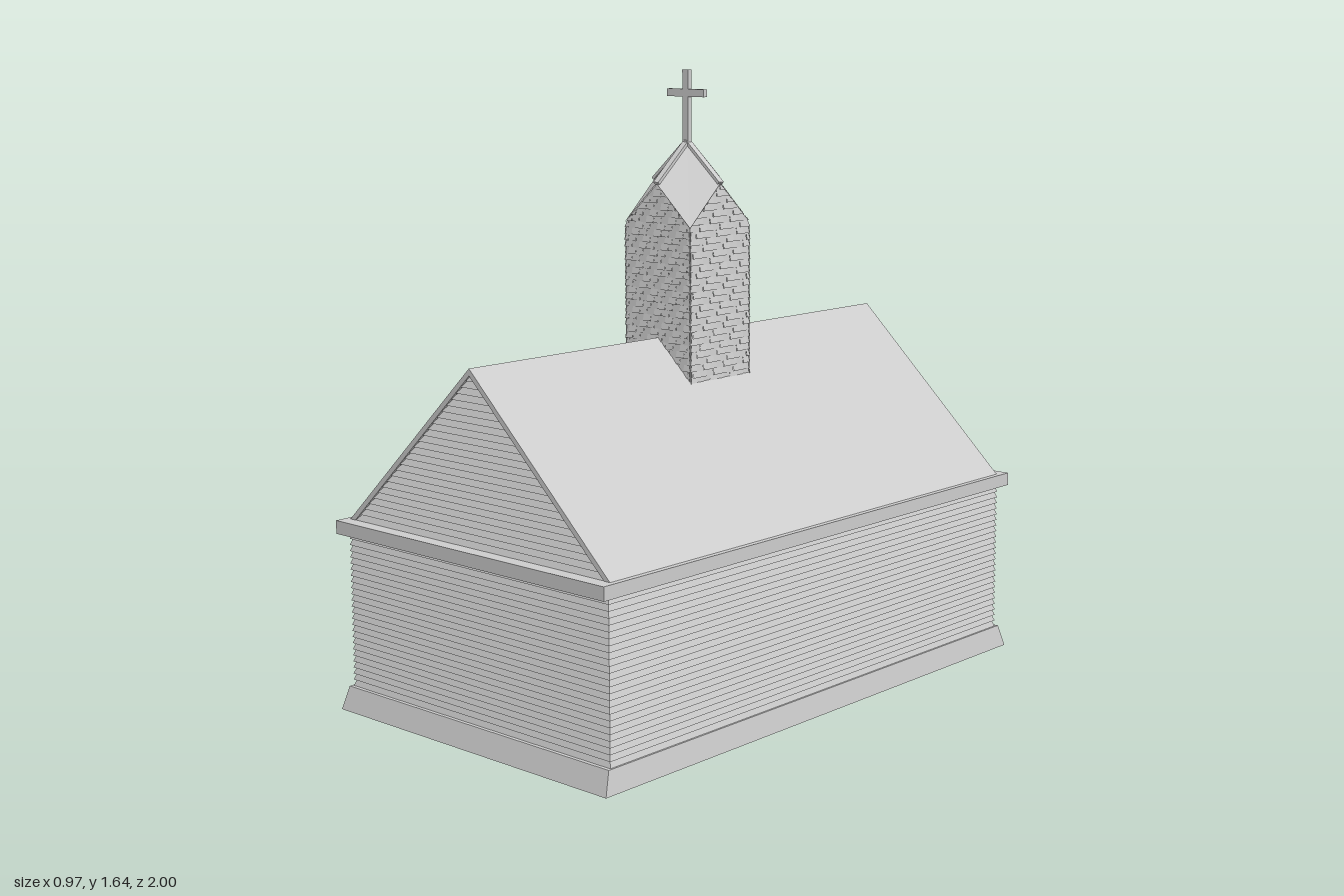
import * as THREE from 'three';

const mat = new THREE.MeshStandardMaterial({ color: 0xcccccc, flatShading: true, side: THREE.DoubleSide });

export function createModel() {
  const root = new THREE.Group();
  root.name = 'chapel';

  const add = (parent, name, geo, x = 0, y = 0, z = 0) => {
    const m = new THREE.Mesh(geo, mat);
    m.name = name;
    m.position.set(x, y, z);
    parent.add(m);
    return m;
  };
  const group = (name, parent = root) => {
    const g = new THREE.Group();
    g.name = name;
    parent.add(g);
    return g;
  };
  // box given by its lower and upper limits
  const block = (parent, name, x0, x1, y0, y1, z0, z1) =>
    add(parent, name, new THREE.BoxGeometry(x1 - x0, y1 - y0, z1 - z0),
      (x0 + x1) / 2, (y0 + y1) / 2, (z0 + z1) / 2);
  // outline in x,y extruded from z0 to z1
  const prism = (parent, name, pts, z0, z1) => {
    const shape = new THREE.Shape(pts.map(([x, y]) => new THREE.Vector2(x, y)));
    return add(parent, name, new THREE.ExtrudeGeometry(shape, { depth: z1 - z0, bevelEnabled: false }), 0, 0, z0);
  };
  const quads = (list) => {
    const pos = [];
    for (const [a, b, c, d] of list) pos.push(...a, ...b, ...c, ...a, ...c, ...d);
    const g = new THREE.BufferGeometry();
    g.setAttribute('position', new THREE.Float32BufferAttribute(pos, 3));
    g.computeVertexNormals();
    return g;
  };
  // upright cross in the x,y plane
  const cross = (parent, name, y0, y1, armY, armHalf, t, z, depth) => {
    const g = group(name, parent);
    block(g, 'upright', -t, t, y0, y1, z - depth, z + depth);
    block(g, 'arm', -armHalf, armHalf, armY - t, armY + t, z - depth, z + depth);
  };

  // Overlapping boards facing +z at distance dist; width(y) is the half width.
  // cols > 1 splits the rows into staggered shingles.
  const siding = (width, y0, y1, rows, dist, lap, mitre, cols = 1) => {
    const list = [];
    const h = (y1 - y0) / rows;
    for (let r = 0; r < rows; r++) {
      const ya = y0 + r * h, yb = ya + h;
      const wa = width(ya), wb = width(yb) - (mitre ? lap : 0);
      const step = 2 * width(y0) / cols;
      const shift = cols > 1 && r % 2 ? step / 2 : 0;
      for (let c = 0; c < cols + (shift ? 1 : 0); c++) {
        const l = -width(y0) + c * step - shift, k = l + step;
        const clamp = (x, w) => Math.max(-w, Math.min(w, x));
        const out = cols > 1 ? dist - ((c * 7 + r * 5) % 3) * 0.0012 : dist;
        const [la, ra, lb, rb] = [clamp(l, wa), clamp(k, wa), clamp(l, wb), clamp(k, wb)];
        list.push([[la, ya, out], [ra, ya, out], [rb, yb, dist - lap], [lb, yb, dist - lap]]);
        list.push([[la, ya, dist - lap], [ra, ya, dist - lap], [ra, ya, out], [la, ya, out]]);
      }
    }
    return quads(list);
  };

  // Hall: flared plinth, clapboard walls, eave band
  const midZ = 0.19, halfX = 0.47, halfZ = 0.78;
  const hall = group('hall');
  const plinth = new THREE.BoxGeometry(0.97, 0.06, 1.62);
  const p = plinth.attributes.position;
  for (let i = 0; i < p.count; i++) {
    if (p.getY(i) > 0) p.setXYZ(i, Math.sign(p.getX(i)) * 0.475, 0.03, Math.sign(p.getZ(i)) * 0.79);
  }
  plinth.computeVertexNormals();
  add(hall, 'plinth', plinth, 0, 0.03, midZ);
  for (let i = 0; i < 4; i++) {
    const end = i % 2 === 0;
    const wall = siding(() => (end ? halfX : halfZ), 0.06, 0.47, 25, end ? halfZ : halfX, 0.006, true);
    add(hall, end ? 'endWall' : 'sideWall', wall, 0, 0, midZ).rotation.y = i * Math.PI / 2;
  }
  block(hall, 'eaveBand', -0.485, 0.485, 0.47, 0.505, -0.62, 1.0);

  // Main roof with boarded gables
  const roof = group('roof');
  prism(roof, 'roofSlopes', [[-0.47, 0.505], [-0.45, 0.505], [0, 0.932], [0.45, 0.505], [0.47, 0.505], [0, 0.95]], -0.585, 0.965);
  const gableWidth = (y) => Math.max(0, 0.455 * (0.935 - y) / 0.43);
  for (const turn of [0, Math.PI]) {
    add(roof, 'gable', siding(gableWidth, 0.505, 0.935, 25, 0.773, 0.008, false), 0, 0, midZ).rotation.y = turn;
  }
  cross(roof, 'gableCross', 0.65, 0.85, 0.78, 0.07, 0.009, -0.587, 0.006);

  // Steeple: shingled walls, four rhombic roof faces, ribs and cross
  const steeple = group('steeple');
  steeple.position.z = midZ;
  const s = 0.118, cornerY = 1.245, gableY = 1.355, apexY = 1.46;
  const steepleWidth = (y) => s * Math.max(0, Math.min(1, (gableY - y) / (gableY - cornerY)));
  const helm = [];
  for (let i = 0; i < 4; i++) {
    const a = i * Math.PI / 2;
    add(steeple, 'steepleWall', siding(steepleWidth, 0.835, gableY, 30, s, 0.004, false, 9)).rotation.y = a;
    const spin = (x, y, z) => new THREE.Vector3(x, y, z).applyAxisAngle(new THREE.Vector3(0, 1, 0), a).toArray();
    helm.push([[0, apexY, 0], spin(0, gableY, s), spin(s, cornerY, s), spin(s, gableY, 0)]);
    const rib = new THREE.BoxGeometry(0.018, 0.008, Math.hypot(s, apexY - gableY));
    rib.rotateX(Math.atan2(apexY - gableY, s));
    rib.translate(0, (apexY + gableY) / 2, s / 2);
    add(steeple, 'rib', rib).rotation.y = a;
  }
  add(steeple, 'steepleRoof', quads(helm));
  cross(steeple, 'steepleCross', 1.43, 1.645, 1.585, 0.065, 0.01, 0, 0.007);

  // Porch at the back
  const porch = group('porch');
  const w = 0.115;
  const house = (y) => [[-w, y], [w, y], [w, 0.315], [0, 0.42], [-w, 0.315]];
  prism(porch, 'vestibule', house(0), -0.8, -0.58);
  prism(porch, 'canopy', house(0.24), -0.95, -0.8);
  prism(porch, 'porchRoof', [[-w - 0.002, 0.315], [-w + 0.01, 0.315], [0, 0.408], [w - 0.01, 0.315], [w + 0.002, 0.315], [0, 0.422]], -0.956, -0.585);
  cross(porch, 'porchCross', 0.285, 0.4, 0.365, 0.04, 0.006, -0.952, 0.005);
  [[0.065, -0.955], [0.04, -0.975], [0.02, -1.0]].forEach(([y, z], i) =>
    block(porch, i ? 'step' : 'porchFloor', -w, w, 0, y, z, -0.79));
  for (const side of [-1, 1]) {
    const x = side * 0.107;
    block(porch, 'post', x - 0.006, x + 0.006, 0.065, 0.24, -0.938, -0.926);
    block(porch, 'handrail', x - 0.005, x + 0.005, 0.106, 0.116, -0.93, -0.8);
    for (let i = 0; i < 6; i++) {
      const z = -0.81 - i * 0.021;
      block(porch, 'baluster', x - 0.004, x + 0.004, 0.065, 0.106, z - 0.004, z + 0.004);
    }
  }
  return root;
}
